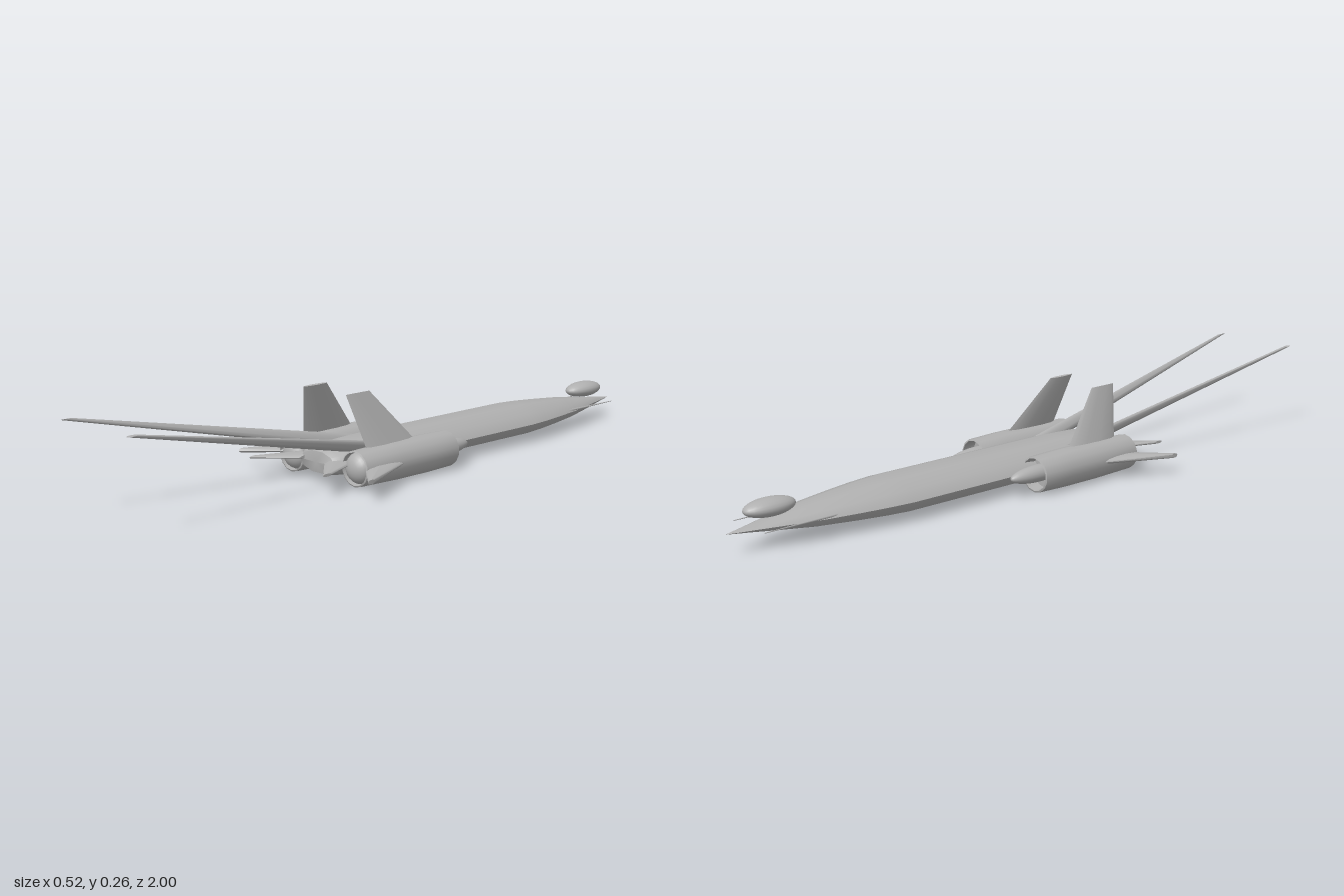
import * as THREE from 'three';
import { toCreasedNormals } from 'three/addons/utils/BufferGeometryUtils.js';
import { ConvexGeometry } from 'three/addons/geometries/ConvexGeometry.js';

const hullGrey = new THREE.MeshStandardMaterial({ color: 0xb0b0b0 });
hullGrey.name = 'hullGrey';

function add(group, name, geometry, x = 0, y = 0, z = 0) {
  const mesh = new THREE.Mesh(geometry, hullGrey);
  mesh.name = name;
  mesh.position.set(x, y, z);
  group.add(mesh);
  return mesh;
}

// Body of revolution along z from [z, radius] pairs
function spun(profile, sides, phase = 0) {
  const points = profile.map(([z, r]) => new THREE.Vector2(r, z));
  return new THREE.LatheGeometry(points, sides, phase).rotateX(Math.PI / 2);
}

function ellipsoid(rx, ry, rz) {
  return new THREE.SphereGeometry(1, 20, 14).rotateX(Math.PI / 2).scale(rx, ry, rz);
}

// Tapered blade with a lens section; each end is { x, y, front, back, thick }
function blade(root, tip, side) {
  const dx = tip.x - root.x, dy = tip.y - root.y, length = Math.hypot(dx, dy);
  const nx = -dy / length, ny = dx / length;
  const points = [];
  for (const end of [root, tip]) {
    for (let i = 0; i < 10; i++) {
      const a = (i / 10) * Math.PI * 2;
      const off = Math.sin(a) * end.thick / 2;
      const z = (end.front + end.back) / 2 + Math.cos(a) * (end.back - end.front) / 2;
      points.push(new THREE.Vector3(side * (end.x + nx * off), end.y + ny * off, z));
    }
  }
  return toCreasedNormals(new ConvexGeometry(points), 0.75);
}

export function createModel() {
  const model = new THREE.Group();
  model.name = 'jetAircraft';

  // Flattened ten-sided fuselage, nose towards -z
  const fuselage = spun([
    [-1, 0.001], [-0.93, 0.02], [-0.85, 0.043], [-0.75, 0.07], [-0.65, 0.088],
    [-0.57, 0.1], [-0.5, 0.107], [0.1, 0.107], [0.2, 0.1], [0.26, 0.085],
    [0.28, 0.068], [0.285, 0],
  ], 10, Math.PI / 2).scale(1, 0.455, 1);
  add(model, 'fuselage', toCreasedNormals(fuselage, 0.9), 0, 0.058, 0);

  add(model, 'canopy', ellipsoid(0.038, 0.024, 0.075), 0, 0.102, -0.873);

  // Engine casing with recessed intake and exhaust
  const casing = toCreasedNormals(spun([
    [-0.06, 0], [-0.06, 0.043], [-0.097, 0.046], [-0.095, 0.051], [0, 0.0535],
    [0.12, 0.0535], [0.26, 0.05], [0.262, 0.046], [0.24, 0.044], [0.24, 0],
  ], 14), 0.6);

  for (const side of [1, -1]) {
    const label = side > 0 ? 'left' : 'right';
    const half = new THREE.Group();
    half.name = label + 'Side';
    model.add(half);

    add(half, 'engineNacelle', casing, side * 0.126, 0.0555, 0);
    add(half, 'intakeSpike', ellipsoid(0.026, 0.024, 0.1), side * 0.126, 0.058, -0.082);
    add(half, 'exhaustDome', ellipsoid(0.044, 0.044, 0.035), side * 0.126, 0.0555, 0.24);

    add(half, 'wing', blade(
      { x: 0.14, y: 0.058, front: 0.04, back: 0.235, thick: 0.022 },
      { x: 0.258, y: 0.056, front: 0.315, back: 0.34, thick: 0.013 }, side));

    add(half, 'tailplane', blade(
      { x: 0.05, y: 0.064, front: 0.12, back: 0.3, thick: 0.016 },
      { x: 0.147, y: 0.064, front: 0.365, back: 0.395, thick: 0.008 }, side));

    add(half, 'uprightFin', blade(
      { x: 0.126, y: 0.1, front: 0.03, back: 0.215, thick: 0.018 },
      { x: 0.084, y: 0.25, front: 0.165, back: 0.252, thick: 0.008 }, side));

    // Long swept blade reaching far behind the tail
    add(half, 'sweptBlade', blade(
      { x: 0.063, y: 0.09, front: 0.06, back: 0.24, thick: 0.016 },
      { x: 0.134, y: 0.262, front: 0.965, back: 1, thick: 0.008 }, side));

    // Needle probe beside the nose
    const probe = spun([[-0.935, 0.001], [-0.7, 0.004], [-0.65, 0]], 8);
    add(half, 'noseProbe', probe, side * 0.068, 0.063, 0);
  }
  return model;
}
